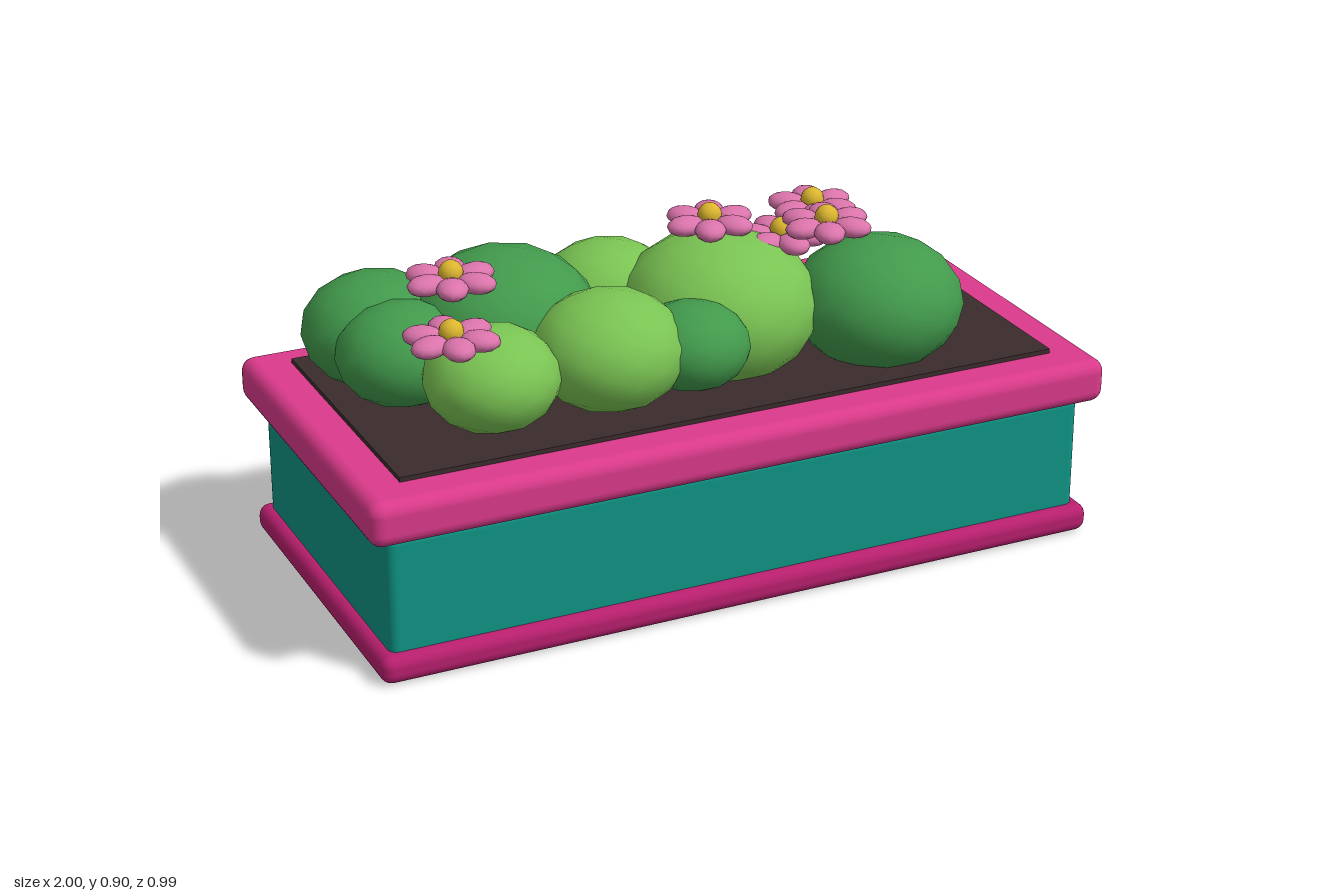
import * as THREE from 'three';
import { RoundedBoxGeometry } from 'three/addons/geometries/RoundedBoxGeometry.js';
import { mergeVertices } from 'three/addons/utils/BufferGeometryUtils.js';

const material = (name, color) => {
  const m = new THREE.MeshStandardMaterial({ color });
  m.name = name;
  return m;
};

export function createModel() {
  const mats = {
    rim: material('rim pink', 0xdb3a8b),
    base: material('base magenta', 0xb81f6e),
    teal: material('teal', 0x0f9485),
    soil: material('soil brown', 0x3b2c2d),
    dark: material('dark green', 0x429a4c),
    light: material('light green', 0x7ac453),
    petal: material('petal pink', 0xdb74ab),
    centre: material('flower yellow', 0xdcb62f),
  };
  const model = new THREE.Group();
  model.name = 'flowerPlanter';

  const add = (parent, name, geometry, mat, x, y, z) => {
    const mesh = new THREE.Mesh(geometry, mat);
    mesh.name = name;
    mesh.position.set(x, y, z);
    parent.add(mesh);
    return mesh;
  };

  // Planter box, each slab given by its bottom and top height
  const slab = (name, w, d, y0, y1, r, mat) =>
    add(model, name, new RoundedBoxGeometry(w, y1 - y0, d, 3, r), mat, 0, (y0 + y1) / 2, 0);
  slab('base', 1.96, 0.95, 0, 0.075, 0.03, mats.base);
  slab('body', 1.9, 0.89, 0.03, 0.378, 0.025, mats.teal);
  slab('rim', 2, 0.985, 0.373, 0.49, 0.035, mats.rim);
  add(model, 'soil', new THREE.BoxGeometry(1.78, 0.03, 0.775), mats.soil, 0, 0.487, 0);

  // Bushes: faceted, flattened balls sunk into the soil
  const ball = new THREE.IcosahedronGeometry(1, 2);
  const bushes = [
    // x, z, radius, top height, colour
    [0.5, 0.17, 0.222, 0.797, 'dark'],
    [0.115, 0.04, 0.257, 0.832, 'light'],
    [-0.1, -0.18, 0.178, 0.765, 'light'],
    [-0.43, -0.08, 0.245, 0.832, 'dark'],
    [-0.725, -0.2, 0.19, 0.775, 'dark'],
    [-0.72, -0.03, 0.168, 0.755, 'dark'],
    [-0.585, 0.22, 0.17, 0.765, 'light'],
    [-0.27, 0.21, 0.195, 0.797, 'light'],
    [-0.06, 0.245, 0.145, 0.745, 'dark'],
  ];
  bushes.forEach(([x, z, r, top, colour], i) => {
    const ry = r * 0.77;
    const bush = add(model, `bush${i + 1}`, ball, mats[colour], x, top - ry, z);
    bush.scale.set(r, ry, r);
  });

  // Flowers: six flat oval petals around a yellow centre
  const petal = new THREE.SphereGeometry(1, 12, 8);
  const bead = mergeVertices(new THREE.SphereGeometry(0.031, 12, 8));
  const flowers = [
    // x, z, petal height, turn
    [-0.615, 0.045, 0.831, 0.2],
    [-0.71, 0.285, 0.784, 0.4],
    [0.115, -0.02, 0.84, 0.1],
    [0.47, -0.135, 0.786, 0.25],
    [0.29, 0.04, 0.793, 0.5],
    [0.365, 0.14, 0.848, 0.15],
  ];
  flowers.forEach(([x, z, y, turn], i) => {
    const flower = new THREE.Group();
    flower.name = `flower${i + 1}`;
    flower.position.set(x, y, z);
    flower.rotation.y = turn;
    for (let k = 0; k < 6; k++) {
      const a = (k / 6) * Math.PI * 2;
      const p = add(flower, 'petal', petal, mats.petal, Math.cos(a) * 0.07, 0, -Math.sin(a) * 0.07);
      p.scale.set(0.051, 0.025, 0.04);
      p.rotation.y = a;
    }
    add(flower, 'flowerCentre', bead, mats.centre, 0, 0.018, 0);
    model.add(flower);
  });

  return model;
}
